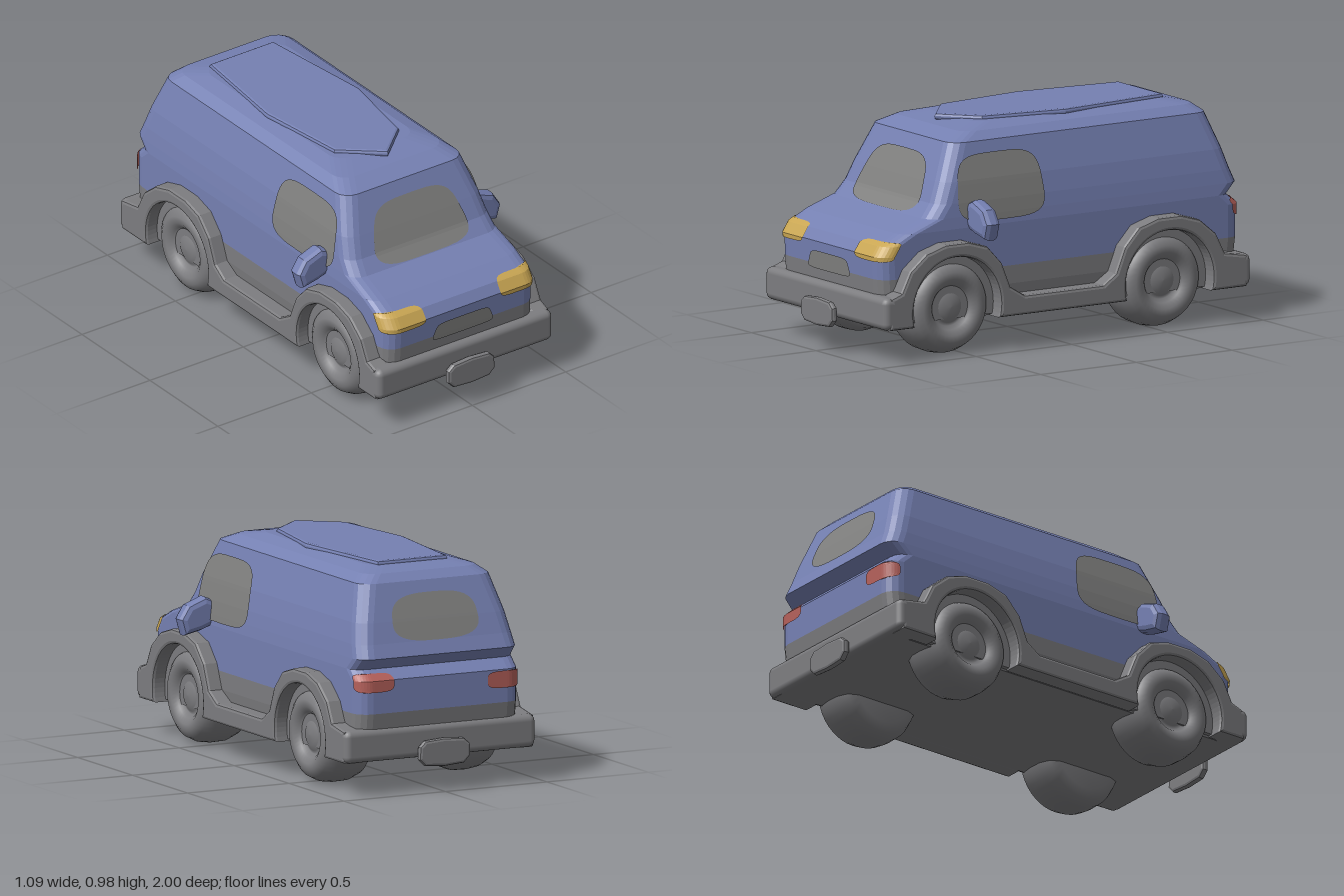
import * as THREE from 'three';
import { RoundedBoxGeometry } from 'three/addons/geometries/RoundedBoxGeometry.js';

const mat = (name, color, side = THREE.FrontSide) =>
  Object.assign(new THREE.MeshStandardMaterial({ color, side }), { name });

// Body layers: height, front z, back z, half width
const LAYERS = [
  [0.15, 0.90, -0.92, 0.385], [0.28, 0.92, -0.945, 0.40], [0.36, 0.925, -0.955, 0.40],
  [0.46, 0.93, -0.955, 0.40], [0.505, 0.90, -0.955, 0.40], [0.55, 0.81, -0.905, 0.40],
  [0.60, 0.67, -0.955, 0.395], [0.66, 0.62, -0.93, 0.387], [0.75, 0.58, -0.90, 0.37],
  [0.91, 0.505, -0.84, 0.325], [0.945, 0.42, -0.80, 0.28], [0.965, 0.30, -0.70, 0.21],
];
const TRIM_TOP = 2;
const R = 0.07;

// Interpolated layer at height y
function layerAt(y) {
  let i = 0;
  while (i < LAYERS.length - 2 && y > LAYERS[i + 1][0]) i++;
  const a = LAYERS[i], b = LAYERS[i + 1], t = (y - a[0]) / (b[0] - a[0]);
  return a.map((v, k) => v + (b[k] - v) * t);
}

// Rounded rectangle at one layer
function ring([y, zf, zb, w]) {
  const pts = [], seg = 4;
  const corners = [[w - R, zf - R], [R - w, zf - R], [R - w, zb + R], [w - R, zb + R]];
  corners.forEach(([cx, cz], q) => {
    for (let i = 0; i <= seg; i++) {
      const a = (q + i / seg) * Math.PI / 2;
      pts.push([cx + R * Math.cos(a), y, cz + R * Math.sin(a)]);
    }
  });
  return pts;
}

// Faceted shell through a list of layers, closed at both ends
function shell(layers) {
  const rings = layers.map(ring), n = rings[0].length, out = [];
  const tri = (...p) => p.forEach((v) => out.push(...v));
  for (let j = 0; j < rings.length - 1; j++) {
    for (let i = 0; i < n; i++) {
      const k = (i + 1) % n, lo = rings[j], hi = rings[j + 1];
      tri(lo[i], hi[i], lo[k]);
      tri(lo[k], hi[i], hi[k]);
    }
  }
  const mid = ([y, zf, zb]) => [0, y, (zf + zb) / 2];
  const first = rings[0], last = rings[rings.length - 1];
  for (let i = 0; i < n; i++) {
    const k = (i + 1) % n;
    tri(mid(layers[0]), first[i], first[k]);
    tri(mid(layers[layers.length - 1]), last[k], last[i]);
  }
  return bufferFrom(out);
}

function bufferFrom(positions) {
  const g = new THREE.BufferGeometry();
  g.setAttribute('position', new THREE.Float32BufferAttribute(positions, 3));
  g.computeVertexNormals();
  return g;
}

// Points just outside the body: s runs along the end wall and round its corner
const LIFT = 0.006;
function endPoint(dir) {
  return (s, y) => {
    const [, zf, zb, w] = layerAt(y);
    const flat = w - R, over = Math.max(0, Math.abs(s) - flat), r = R + LIFT;
    const a = Math.min(over / R, Math.PI / 2);
    const x = Math.sign(s) * (Math.min(Math.abs(s), flat) + r * Math.sin(a));
    return [x, y, (dir > 0 ? zf : zb) + dir * (r * Math.cos(a) - R)];
  };
}
const sidePoint = (dir) => (z, y) => [dir * (layerAt(y)[3] + LIFT), y, z];

// Rounded patch on the body; taper narrows it towards the top
function patch(point, [u0, u1], [y0, y1], power = 4, taper = 0) {
  const rows = 24, cols = 16, out = [];
  const at = (i, j) => {
    const v = -Math.cos(Math.PI * j / rows);
    const half = Math.pow(Math.max(0, 1 - Math.abs(v) ** power), 1 / power) * (1 - taper * (v + 1) / 2);
    const u = (i / cols * 2 - 1) * half;
    return point((u0 + u1) / 2 + u * (u1 - u0) / 2, (y0 + y1) / 2 + v * (y1 - y0) / 2);
  };
  for (let j = 0; j < rows; j++) {
    for (let i = 0; i < cols; i++) {
      out.push(...at(i, j), ...at(i + 1, j), ...at(i, j + 1));
      out.push(...at(i + 1, j), ...at(i + 1, j + 1), ...at(i, j + 1));
    }
  }
  return bufferFrom(out);
}

// Extrusion of a shape, centred on its depth
function slab(shape, depth, bevel) {
  const g = new THREE.ExtrudeGeometry(shape, {
    depth: depth - 2 * bevel, bevelEnabled: bevel > 0, bevelThickness: bevel,
    bevelSize: bevel, bevelOffset: -bevel, bevelSegments: 2, curveSegments: 20,
  });
  return g.translate(0, 0, -depth / 2 + bevel);
}
const polygon = (pts) => new THREE.Shape(pts.map(([x, y]) => new THREE.Vector2(x, y)));

const WHEEL_Y = 0.212, AXLES = [0.575, -0.535], FLOOR = 0.15;

// Side cladding outline (z, y): bumper ends, wheel arches and sill
function claddingShape() {
  const s = new THREE.Shape();
  const [f, b] = AXLES, r = 0.228, dy = FLOOR - WHEEL_Y;
  const arch = [[0.29, 0.31], [0.245, 0.40], [0.16, 0.47], [0.06, 0.50], [-0.06, 0.50],
    [-0.16, 0.47], [-0.235, 0.39], [-0.28, 0.28]];
  s.moveTo(0.93, FLOOR);
  s.lineTo(0.92, 0.29);
  arch.forEach(([z, y]) => s.lineTo(f + z, y));
  s.lineTo(0.22, 0.235);
  s.lineTo(-0.19, 0.235);
  [...arch].reverse().forEach(([z, y]) => s.lineTo(b - z, y));
  s.lineTo(-0.94, 0.29);
  s.lineTo(-0.94, FLOOR);
  const start = Math.asin(dy / r);
  for (const c of [b, f]) {
    s.lineTo(c - r * Math.cos(start), FLOOR);
    s.absarc(c, WHEEL_Y, r, Math.PI - start, start, true);
  }
  return s;
}

// Filled wheel well above floor height
function wellShape() {
  const s = new THREE.Shape(), r = 0.245, a = Math.asin((FLOOR + 0.01 - WHEEL_Y) / r);
  s.absarc(0, WHEEL_Y, r, a, Math.PI - a, false);
  return s;
}

export function createModel() {
  const model = new THREE.Group();
  model.name = 'van';
  const blue = mat('body blue', 0x7580b2);
  const grey = mat('trim grey', 0x7d7d80);
  const glass = mat('window grey', 0x80807f, THREE.DoubleSide);
  const yellow = mat('headlight yellow', 0xc9a653, THREE.DoubleSide);
  const red = mat('tail light red', 0xb5605a, THREE.DoubleSide);
  const add = (name, geometry, material, x = 0, y = 0, z = 0) => {
    const m = new THREE.Mesh(geometry, material);
    m.name = name;
    m.position.set(x, y, z);
    model.add(m);
    return m;
  };

  // Shell and roof panel
  add('body', shell(LAYERS.slice(TRIM_TOP)), blue);
  add('underbody', shell(LAYERS.slice(0, TRIM_TOP + 1)), grey);
  const roof = polygon([[-0.18, -0.23], [0, -0.38], [0.16, -0.24], [0.23, 0.15], [0.17, 0.70],
    [-0.17, 0.70], [-0.23, 0.2]]);
  add('roofPanel', slab(roof, 0.03, 0.012).rotateX(-Math.PI / 2), blue, 0, 0.966, 0);

  // Windows, lights and grille
  const front = endPoint(1), back = endPoint(-1);
  add('windshield', patch(front, [-0.27, 0.27], [0.605, 0.85], 4, 0.28), glass);
  add('rearWindow', patch(back, [-0.22, 0.22], [0.66, 0.86], 3, 0.1), glass);
  add('grille', patch(front, [-0.17, 0.17], [0.34, 0.42], 6, 0.2), grey).material = glass;
  for (const s of [1, -1]) {
    add('sideWindow', patch(sidePoint(s), [0.06, 0.53], [0.57, 0.86], 4, 0.12), glass);
    add('headlight', patch(front, [s * 0.2, s * 0.44], [0.44, 0.52], 5), yellow);
    add('tailLight', patch(back, [s * 0.23, s * 0.42], s > 0 ? [0.455, 0.535] : [0.425, 0.5], 4), red);
  }

  // Cladding, wheel wells, mirrors and wheels on both sides
  const cladding = slab(claddingShape(), 0.09, 0.014).rotateY(-Math.PI / 2);
  const well = slab(wellShape(), 0.22, 0).rotateY(-Math.PI / 2);
  const mirror = slab(polygon([[0.37, 0.65], [0.42, 0.672], [0.505, 0.64], [0.543, 0.58],
    [0.522, 0.508], [0.44, 0.525], [0.37, 0.55]]), 0.08, 0.025);
  const wheel = new THREE.LatheGeometry([[0, -0.12], [0.15, -0.12], [0.19, -0.10], [0.21, -0.05],
    [0.212, 0.01], [0.205, 0.06], [0.185, 0.10], [0.155, 0.12], [0.125, 0.118], [0.10, 0.10],
    [0.085, 0.08], [0.07, 0.085], [0.045, 0.10], [0, 0.103]]
    .map(([r, h]) => new THREE.Vector2(r, h)), 40);
  for (const s of [1, -1]) {
    add('sideCladding', cladding, grey, s * 0.425);
    const m = add('mirror', mirror, blue, 0, 0, 0.435);
    if (s < 0) m.rotation.y = Math.PI, m.position.z = 0.435;
    for (const z of AXLES) {
      add('wheelWell', well, grey, s * 0.296, 0, z);
      add('wheel', wheel, grey, s * 0.315, WHEEL_Y, z).rotation.z = -s * Math.PI / 2;
    }
  }

  // Bumpers and blank oval plates at both ends
  const plate = polygon([[-0.125, -0.025], [-0.095, -0.055], [0, -0.062], [0.095, -0.055], [0.125, -0.025],
    [0.122, 0.03], [0.095, 0.055], [0, 0.062], [-0.095, 0.055], [-0.125, 0.03]]);
  for (const s of [1, -1]) {
    add('bumper', new RoundedBoxGeometry(0.94, 0.145, 0.14, 2, 0.03), grey, 0, 0.2225, s > 0 ? 0.885 : -0.893);
    add('plate', slab(plate, 0.032, 0.012), grey, 0, 0.173, s * 0.984);
  }
  return model;
}
